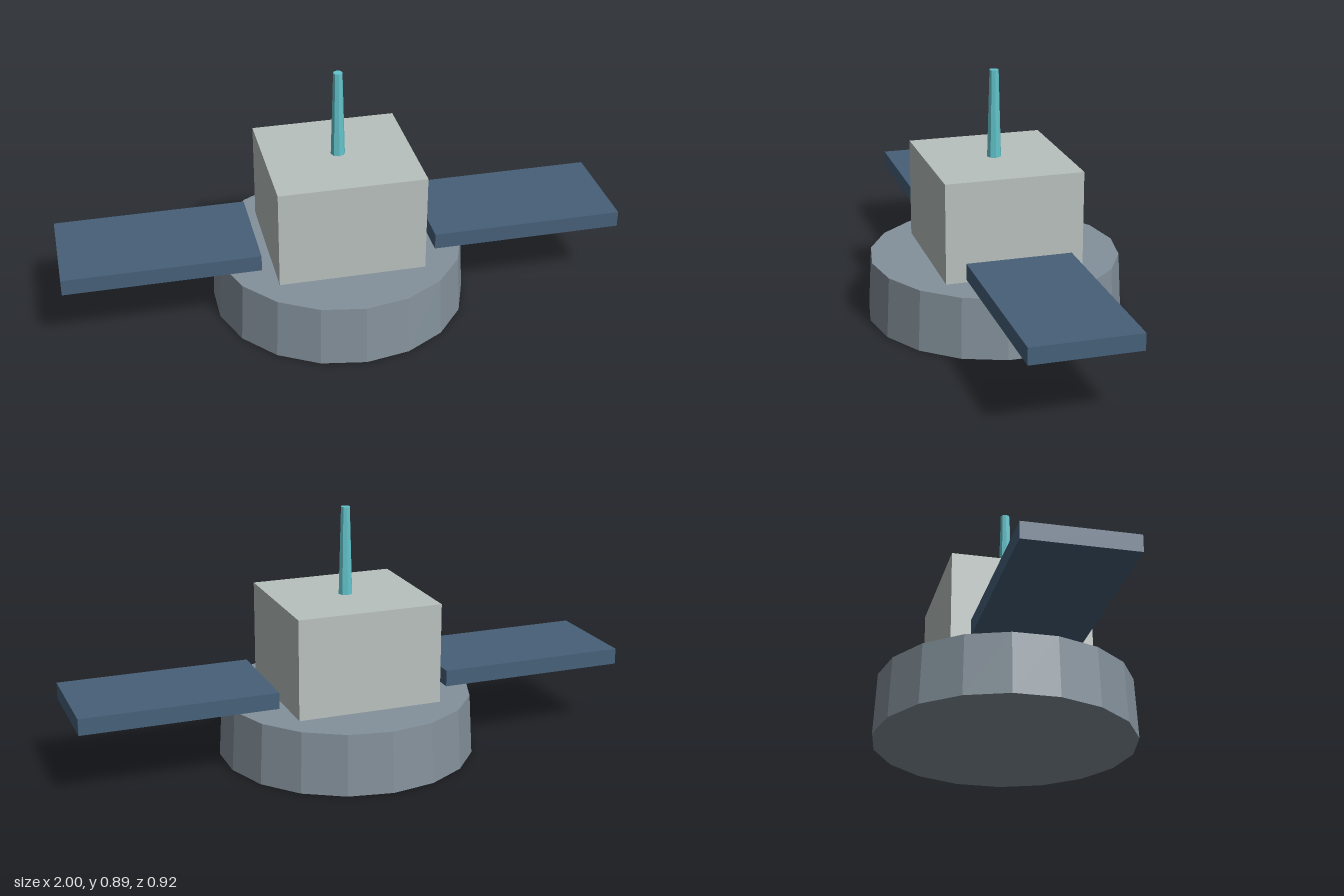
import * as THREE from 'three';

const flat = (name, color) => {
  const m = new THREE.MeshStandardMaterial({ color, flatShading: true });
  m.name = name;
  return m;
};

export function createModel() {
  const group = new THREE.Group();
  const baseGrey = flat('base grey', 0x84919b);
  const bodyGrey = flat('body pale grey', 0xb9c1be);
  const panelBlue = flat('panel blue', 0x466079);
  const mastTeal = flat('mast teal', 0x62c3cb);

  const add = (name, geometry, material, x, y) => {
    const mesh = new THREE.Mesh(geometry, material);
    mesh.name = name;
    mesh.position.set(x, y, 0);
    group.add(mesh);
  };

  // Tapered round base
  add('base', new THREE.CylinderGeometry(0.447, 0.459, 0.217, 18), baseGrey, 0, 0.1085);

  // Box body standing on the base
  add('body', new THREE.BoxGeometry(0.522, 0.358, 0.49), bodyGrey, 0, 0.396);

  // Slim tapered mast
  add('mast', new THREE.CylinderGeometry(0.0165, 0.0255, 0.313, 8), mastTeal, 0, 0.7315);

  // Mirrored side panels, floating free of the body
  for (const side of [1, -1]) {
    add(side > 0 ? 'leftPanel' : 'rightPanel',
      new THREE.BoxGeometry(0.688, 0.058, 0.373), panelBlue, side * 0.656, 0.277);
  }
  return group;
}
